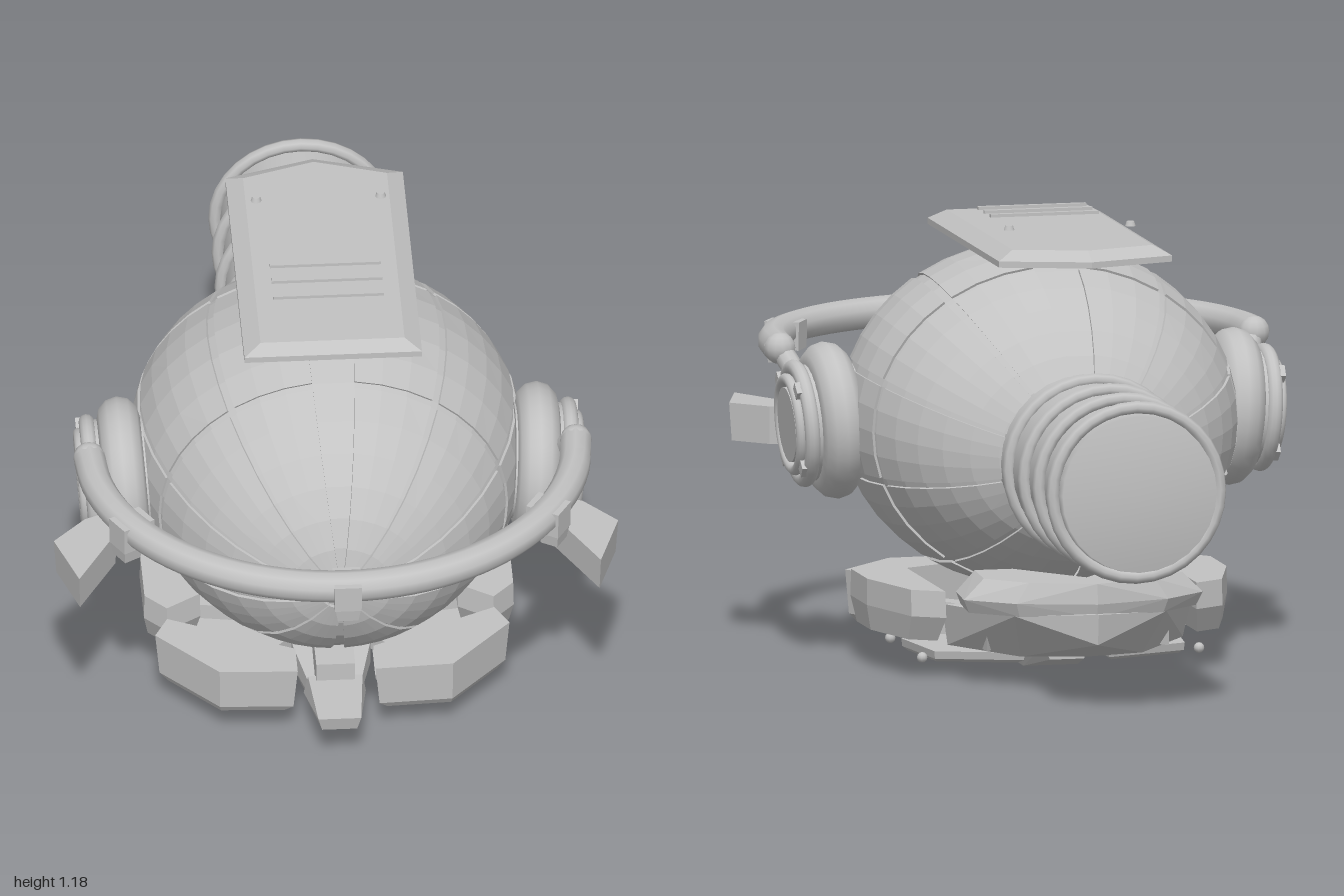
import * as THREE from 'three';
import { ConvexGeometry } from 'three/addons/geometries/ConvexGeometry.js';

const grey = new THREE.MeshStandardMaterial({ color: 0xc2c2c2 });
grey.name = 'grey';
const rad = THREE.MathUtils.degToRad;

function add(parent, name, geometry, x = 0, y = 0, z = 0) {
  const mesh = new THREE.Mesh(geometry, grey);
  mesh.name = name;
  mesh.position.set(x, y, z);
  parent.add(mesh);
  return mesh;
}

// Angles along one direction of the ball, doubled at seam edges to form a step.
function stops(from, to, step, seams) {
  const list = [];
  let at = from;
  const run = (end) => {
    const n = Math.max(1, Math.round((end - at) / step));
    for (let i = 0; i <= n; i++) list.push([at + (end - at) * i / n, false]);
  };
  for (const [c, h] of seams) {
    if (c - h > at) run(c - h);
    list.push([c - h, true], [c + h, true]);
    at = c + h;
  }
  run(to);
  return list;
}

// Egg-shaped ball with recessed seams between its armour panels.
function ballGeometry() {
  const rows = stops(0, 180, 9, [[3.2, 3.2], [63.4, 1], [111.2, 1]]);
  const seams = [];
  for (let i = 0; i < 10; i++) seams.push([-90 + i * 36, i === 5 ? 7 : i === 0 ? 3 : 1.4]);
  const cols = stops(-93, 267, 9, seams);
  const pos = [], index = [], w = cols.length;
  for (const [t, rowSeam] of rows) for (const [p, colSeam] of cols) {
    const k = rowSeam || colSeam ? 0.986 : 1, s = Math.sin(rad(t)) * k, c = Math.cos(rad(t)) * k;
    pos.push(0.507 * (1 - 0.04 * c) * s * Math.cos(rad(p)), 0.635 - 0.04 * c * c + 0.445 * s * Math.sin(rad(p)), 0.13 + 0.58 * c);
  }
  for (let i = 0; i < rows.length - 1; i++) for (let j = 0; j < w - 1; j++) {
    const a = i * w + j, b = a + w;
    index.push(a, b, b + 1, a, b + 1, a + 1);
  }
  const g = new THREE.BufferGeometry();
  g.setAttribute('position', new THREE.Float32BufferAttribute(pos, 3));
  g.setIndex(index);
  const flat = g.toNonIndexed();
  flat.computeVertexNormals();
  return flat;
}

// Faceted block: levels of [y, scale] applied to an x/z outline, mirrored by side.
function block(outline, levels, side = 1) {
  const cx = outline.reduce((s, p) => s + p[0], 0) / outline.length;
  const cz = outline.reduce((s, p) => s + p[1], 0) / outline.length;
  const pts = [];
  for (const [y, k] of levels) for (const [x, z] of outline) {
    pts.push(new THREE.Vector3(side * (cx + (x - cx) * k), y, cz + (z - cz) * k));
  }
  return new ConvexGeometry(pts);
}

const hull = (points, side = 1) => new ConvexGeometry(points.map(([x, y, z]) => new THREE.Vector3(side * x, y, z)));

function tube(points, r, segments = 8) {
  const curve = new THREE.CatmullRomCurve3(points.map((p) => new THREE.Vector3(...p)));
  return new THREE.TubeGeometry(curve, segments, r, 10);
}

function makeTail(root) {
  const tail = new THREE.Group();
  tail.name = 'tail';
  const profile = [[0, 0], [0.203, 0], [0.207, 0.04], [0.209, 0.19], [0.214, 0.34], [0.22, 0.5], [0.223, 0.72]];
  const barrel = add(tail, 'tailBarrel', new THREE.LatheGeometry(profile.map((p) => new THREE.Vector2(...p)), 28));
  barrel.rotation.x = Math.PI / 2;
  for (const [z, r] of [[0.04, 0.22], [0.19, 0.221], [0.34, 0.223], [0.495, 0.226]]) {
    add(tail, 'tailRing', new THREE.TorusGeometry(r, 0.017, 8, 32), 0, 0, z);
  }
  tail.position.set(0, 0.587, -1);
  root.add(tail);
}

function makeEar(root, side) {
  const ear = new THREE.Group();
  ear.name = side > 0 ? 'leftEar' : 'rightEar';
  const ring = (name, r, t, x) => add(ear, name, new THREE.TorusGeometry(r, t, 12, 32), side * x).rotation.y = Math.PI / 2;
  const disc = (name, r, x0, x1) => add(ear, name, new THREE.CylinderGeometry(r, r, x1 - x0, 28), side * (x0 + x1) / 2).rotation.z = Math.PI / 2;
  ring('earCushion', 0.147, 0.056, 0);
  disc('earCore', 0.15, -0.06, 0.077);
  ring('earRing', 0.145, 0.02, 0.082);
  ring('earInnerRing', 0.118, 0.014, 0.105);
  disc('earCap', 0.097, 0.057, 0.115);
  for (let i = 0; i < 4; i++) {
    const a = Math.PI / 4 + i * Math.PI / 2;
    const clamp = add(ear, 'earClamp', new THREE.BoxGeometry(0.03, 0.05, 0.035), side * 0.095, 0.132 * Math.sin(a), 0.132 * Math.cos(a));
    clamp.rotation.x = -a + Math.PI / 2;
  }
  ear.position.set(side * 0.528, 0.625, 0.2);
  ear.rotation.z = -side * 0.07;
  root.add(ear);
}

function makeTopPlate(root) {
  const plate = new THREE.Group();
  plate.name = 'topPlate';
  const points = [];
  for (const [y, x, front, shoulder, tip] of [
    [1.097, 0.228, 0.38, -0.405, -0.475], [1.113, 0.228, 0.38, -0.405, -0.475], [1.137, 0.185, 0.35, -0.37, -0.43],
  ]) points.push([-x, y, front], [x, y, front], [-x, y, shoulder], [x, y, shoulder], [0, y, tip]);
  add(plate, 'topPanel', hull(points));
  for (const z of [0.05, 0.118, 0.187]) add(plate, 'ventBar', new THREE.BoxGeometry(0.285, 0.008, 0.014), 0, 1.163, z);
  for (const x of [-0.16, 0.16]) add(plate, 'plateBolt', new THREE.CylinderGeometry(0.01, 0.014, 0.012, 12), x, 1.173, -0.23);
  root.add(plate);
}

// Curved bar in front, with clips and the joints to the ears.
function makeFrontBar(root) {
  const arc = [];
  for (let i = 0; i <= 16; i++) {
    const a = Math.PI * i / 16;
    arc.push([0.625 * Math.cos(a), 0.793, 0.35 + 0.6 * Math.sin(a)]);
  }
  add(root, 'frontBar', tube(arc, 0.041, 48));
  for (const a of [-59, 0, 59]) {
    const clip = new THREE.Group();
    clip.name = 'barClip';
    add(clip, 'clipBody', block([[-0.035, -0.047], [0.035, -0.047], [0.035, 0.046], [-0.035, 0.046]], [[0.745, 0.98], [0.818, 1]]));
    add(clip, 'clipHook', block([[-0.033, -0.015], [0.033, -0.015], [0.033, 0.044], [-0.033, 0.044]], [[0.71, 0.8], [0.75, 1]]));
    clip.position.set(0.625 * Math.sin(rad(a)), 0, 0.35 + 0.6 * Math.cos(rad(a)));
    clip.rotation.y = rad(a);
    root.add(clip);
  }
  for (const s of [-1, 1]) {
    add(root, 'barJoint', tube([[s * 0.625, 0.793, 0.37], [s * 0.615, 0.775, 0.335], [s * 0.59, 0.72, 0.28]], 0.028));
    add(root, 'barEnd', new THREE.SphereGeometry(0.041, 12, 8), s * 0.625, 0.793, 0.35);
  }
}

// Ring of armour blocks and the keel under the ball.
function makeUndercarriage(root) {
  const base = new THREE.Group();
  base.name = 'undercarriage';
  for (const s of [-1, 1]) {
    add(base, 'frontBlock', block([[0.1, 0.52], [0.3, 0.51], [0.455, 0.34], [0.42, 0.27], [0.28, 0.36], [0.1, 0.42]],
      [[0.08, 0.82], [0.1, 0.94], [0.215, 1]], s));
    add(base, 'sideBlock', block([[0.42, 0.26], [0.475, 0.2], [0.475, 0.02], [0.41, -0.2], [0.33, -0.25], [0.33, 0.2]],
      [[0.105, 0.84], [0.17, 1], [0.238, 0.98]], s));
    // Rear blocks meet in a point under the tail.
    const rear = [[0.3, -0.23], [0.315, -0.38], [0.2, -0.48], [0, -0.54], [0, -0.42], [0.18, -0.23]];
    add(base, 'rearUpperBlock', hull(rear.flatMap(([x, z]) => [[x * 0.95, 0.2, z + 0.01], [x, 0.235, z], [x * 0.83, 0.288, z + 0.005]]), s));
    add(base, 'rearLowerBlock', hull([[0.33, 0.2, -0.2], [0.2, 0.2, -0.46], [0, 0.21, -0.55], [0.12, 0.2, -0.2],
      [0.31, 0.09, -0.18], [0.16, 0.08, -0.36], [0, 0.08, -0.4], [0.12, 0.07, -0.18], [0, 0.13, -0.54], [0, 0.2, -0.38]], s));
    // Thin floor plates with ribs and knobs.
    add(base, 'floorPlate', block([[0.11, 0.34], [0.27, 0.3], [0.36, 0.12], [0.33, -0.12], [0.11, -0.2]],
      [[0.035, 0.88], [0.045, 0.98], [0.065, 1]], s));
    for (const z of [0.02, 0.08, 0.14]) {
      add(base, 'floorRib', new THREE.BoxGeometry(0.16, 0.008, 0.014), s * 0.23, 0.033, z).rotation.y = s * 0.4;
    }
    for (const z of [0.22, -0.13]) add(base, 'floorKnob', new THREE.SphereGeometry(0.014, 10, 6), s * 0.365, 0.052, z);
    // Arms from the keel to the blocks.
    for (const [x, z] of [[0.28, 0.4], [0.38, 0.05], [0.24, -0.28]]) {
      add(base, 'strut', hull([[0, 0.08, 0.06], [0, 0.13, 0.06], [0, 0.08, 0.14], [0, 0.13, 0.14],
        [x, 0.09, z - 0.04], [x, 0.09, z + 0.04], [x, 0.13, z - 0.04], [x, 0.13, z + 0.04]], s));
    }
  }
  // Keel and beak along the centre line.
  const keel = [];
  for (const [z, w, low, high] of [[0.48, 0.06, 0.06, 0.12], [0.3, 0.1, 0.01, 0.14], [-0.02, 0.095, 0.004, 0.14], [-0.2, 0.06, 0.045, 0.12]]) {
    for (const s of [-1, 1]) keel.push([s * w * 0.75, low, z], [s * w, (low + high) / 2, z], [s * w, high, z]);
  }
  add(base, 'keel', hull(keel));
  add(base, 'beak', hull([[-0.055, 0.155, 0.65], [0.055, 0.155, 0.65], [-0.045, 0.115, 0.64], [0.045, 0.115, 0.64],
    [-0.07, 0.155, 0.46], [0.07, 0.155, 0.46], [-0.08, 0.09, 0.44], [0.08, 0.09, 0.44]]));
  add(base, 'neck', new THREE.CylinderGeometry(0.14, 0.1, 0.12, 12), 0, 0.16, 0.13);
  add(base, 'frontNeck', new THREE.BoxGeometry(0.1, 0.08, 0.2), 0, 0.165, 0.38);
  root.add(base);
}

export function createModel() {
  const root = new THREE.Group();
  root.name = 'ballMachine';
  add(root, 'ball', ballGeometry());
  makeTail(root);
  makeTopPlate(root);
  makeFrontBar(root);
  for (const s of [-1, 1]) {
    makeEar(root, s);
    // Wedge block below each end of the bar.
    add(root, 'sideWedge', block([[0.55, 0.36], [0.64, 0.4], [0.725, 0.49], [0.67, 0.66], [0.56, 0.46]], [[0.537, 0.93], [0.635, 1]], s));
  }
  makeUndercarriage(root);
  return root;
}
